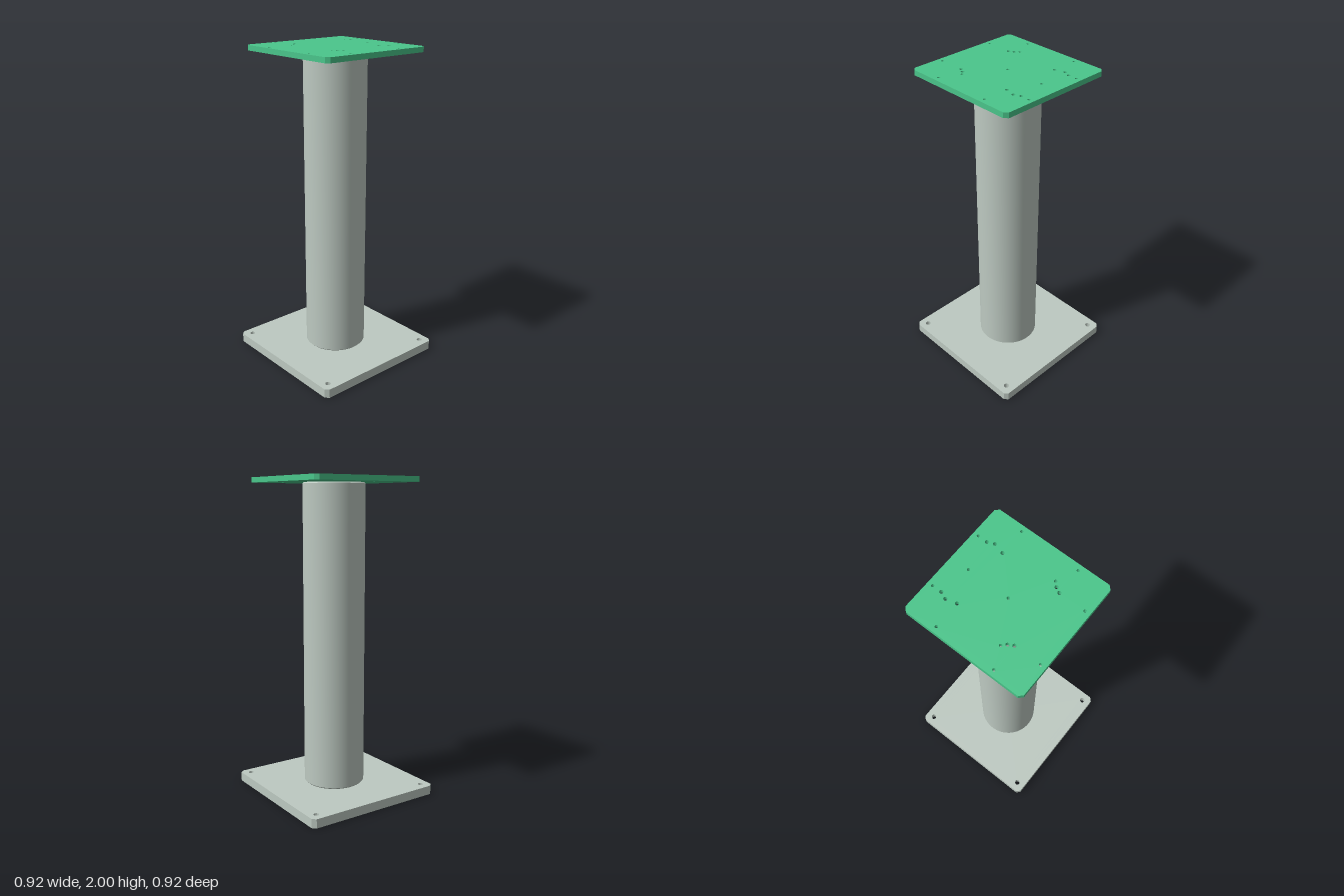
import * as THREE from 'three';
import { toCreasedNormals } from 'three/addons/utils/BufferGeometryUtils.js';

const grey = new THREE.MeshStandardMaterial({ color: 0xbdc9c1 });
const green = new THREE.MeshStandardMaterial({ color: 0x4ac68b });

// Square plate with clipped corners; holes are [x, z, radius]
function plate(name, half, clip, bottom, top, holes, material) {
  const a = half, b = half - clip;
  const shape = new THREE.Shape(
    [[a, -b], [a, b], [b, a], [-b, a], [-a, b], [-a, -b], [-b, -a], [b, -a]]
      .map(([x, z]) => new THREE.Vector2(x, z)));
  for (const [x, z, r] of holes) {
    shape.holes.push(new THREE.Path().absarc(x, z, r, 0, Math.PI * 2, true));
  }
  const geometry = new THREE.ExtrudeGeometry(shape, { depth: top - bottom, bevelEnabled: false, curveSegments: 24 });
  geometry.rotateX(Math.PI / 2).translate(0, top, 0);
  const mesh = new THREE.Mesh(toCreasedNormals(geometry, 0.5), material);
  mesh.name = name;
  return mesh;
}

export function createModel() {
  const group = new THREE.Group();
  group.name = 'pedestal';

  // Floor plate with anchor holes in the corners and a centre hole
  const anchors = [[0, 0, 0.009]];
  for (const x of [-0.402, 0.402]) for (const z of [-0.402, 0.402]) anchors.push([x, z, 0.017]);
  group.add(plate('basePlate', 0.458, 0.022, 0, 0.057, anchors, grey));

  // Hollow column with chamfered outer ends
  const y0 = 0.057, y1 = 1.968, outer = 0.193, inner = 0.17, c = 0.008;
  const profile = [
    [inner, y0], [outer - c, y0], [outer, y0 + c], [outer, y1 - c],
    [outer - c, y1], [inner, y1], [inner, y0],
  ].map(([r, y]) => new THREE.Vector2(r, y));
  const column = new THREE.Mesh(toCreasedNormals(new THREE.LatheGeometry(profile, 96), 0.5), grey);
  column.name = 'column';
  group.add(column);

  // Mounting plate: holes on the centre line, then mirrored pairs
  const mounts = [[0, 0, 0.009], [0, -0.26, 0.0085]];
  const pairs = [
    [0.183, -0.345, 0.0085], [0.183, -0.288, 0.0105], [0.2, -0.247, 0.0105],
    [0.183, -0.184, 0.0105], [0.344, -0.184, 0.0085], [0.224, 0.129, 0.0085],
    [0.2, 0.153, 0.0105], [0.183, 0.183, 0.0105], [0.344, 0.183, 0.0085],
    [0.183, 0.344, 0.0085],
  ];
  for (const [x, z, r] of pairs) mounts.push([x, z, r], [-x, z, r]);
  group.add(plate('mountingPlate', 0.377, 0.021, 1.968, 2, mounts, green));

  return group;
}
